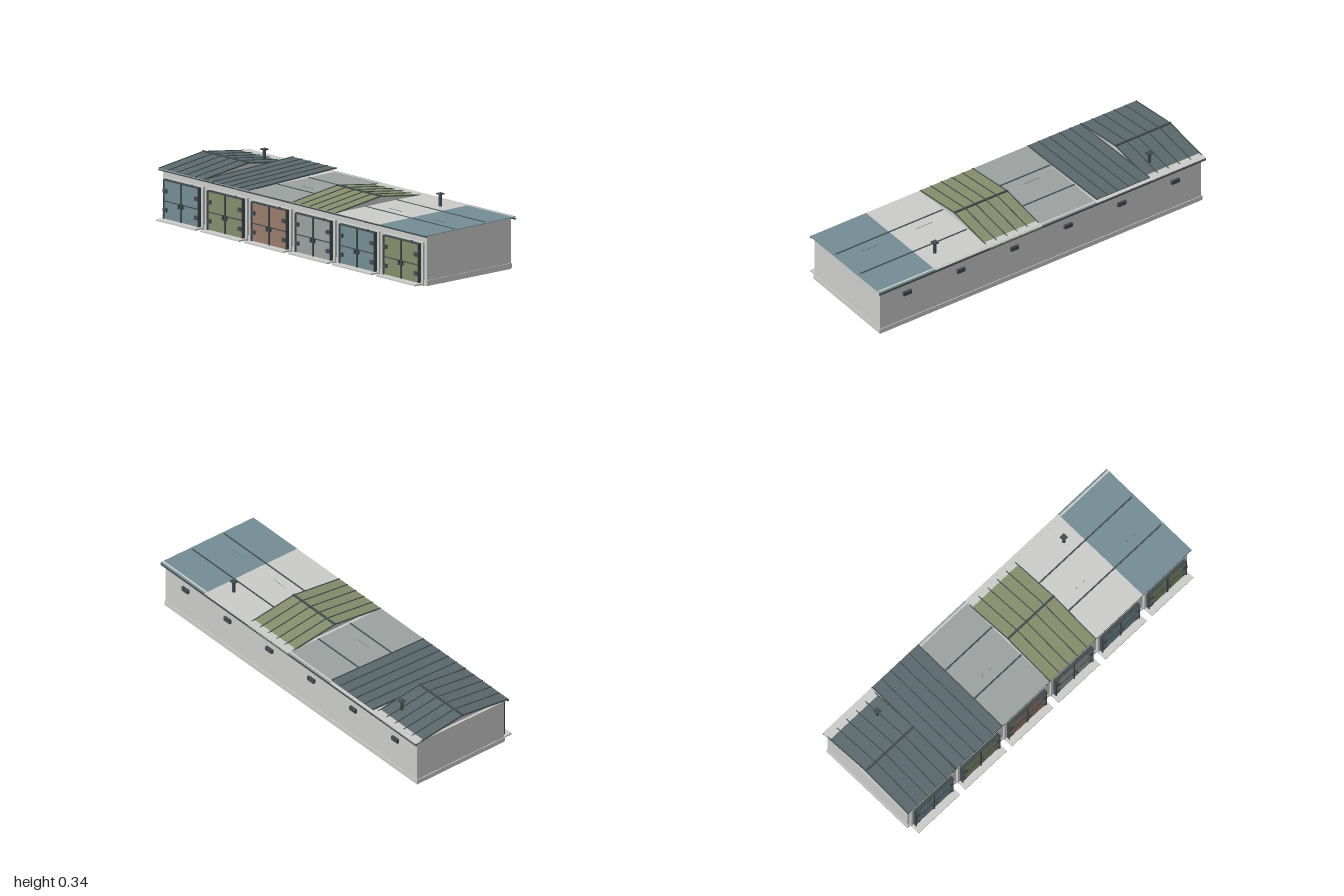
import * as THREE from 'three';

const mat = (name, color) => Object.assign(new THREE.MeshStandardMaterial({ color }), { name });

export function createModel() {
  const M = {
    wall: mat('pale render', 0xcbcbca),
    slate: mat('slate metal', 0x5a686d),
    dark: mat('dark iron', 0x414c4f),
    blue: mat('dusty blue', 0x748c95),
    olive: mat('olive green', 0x858d6b),
    brown: mat('rust brown', 0x9a7c6c),
    grey: mat('mid grey', 0x9ca19f),
  };
  const root = new THREE.Group();
  root.name = 'garageRow';

  const group = (name) => {
    const g = new THREE.Group();
    g.name = name;
    root.add(g);
    return g;
  };
  // Box given by its extents on each axis
  const box = (parent, name, material, [x0, x1], [y0, y1], [z0, z1]) => {
    const mesh = new THREE.Mesh(new THREE.BoxGeometry(x1 - x0, y1 - y0, z1 - z0), material);
    mesh.position.set((x0 + x1) / 2, (y0 + y1) / 2, (z0 + z1) / 2);
    mesh.name = name;
    parent.add(mesh);
  };
  // Prism along x from a (z, y) outline
  const prism = (parent, name, material, x0, x1, outline) => {
    const shape = new THREE.Shape(outline.map(([z, y]) => new THREE.Vector2(-z, y)));
    const geo = new THREE.ExtrudeGeometry(shape, { depth: x1 - x0, bevelEnabled: false });
    geo.rotateY(Math.PI / 2).translate(x0, 0, 0);
    const mesh = new THREE.Mesh(geo, material);
    mesh.name = name;
    parent.add(mesh);
  };
  // Sloping sheet whose underside runs from a to b in (z, y)
  const sheet = (parent, name, material, x0, x1, a, b, t) =>
    prism(parent, name, material, x0, x1, [a, b, [b[0], b[1] + t], [a[0], a[1] + t]]);

  const PITCH = 0.3285;
  const bays = [0, 1, 2, 3, 4, 5].map((i) => (i - 2.5) * PITCH);
  const edges = [-1, -0.66, -0.332, 0, 0.328, 0.657, 1];
  const FRONT = 0.28, BACK = -0.325, RIDGE = -0.02;

  // Walls with a slightly sloping top, and the plinth
  const shell = group('building');
  prism(shell, 'walls', M.wall, -0.985, 0.985,
    [[0.262, 0], [0.262, 0.26], [-0.305, 0.265], [-0.305, 0]]);
  box(shell, 'plinth', M.wall, [-0.989, 0.989], [0.005, 0.03], [-0.309, 0.266]);
  box(shell, 'frontFascia', M.dark, [-1, 1], [0.254, 0.262], [0.273, FRONT]);
  box(shell, 'backFascia', M.dark, [-1, 1], [0.254, 0.261], [BACK, -0.317]);

  // Garage fronts
  const doorColours = [M.blue, M.olive, M.brown, M.grey, M.blue, M.olive];
  bays.forEach((cx, i) => {
    const g = group(`garageFront${i + 1}`);
    g.position.x = cx;
    for (const s of [-1, 1]) {
      const span = (a, b) => (s > 0 ? [a, b] : [-b, -a]);
      box(g, 'pier', M.wall, span(0.131, 0.148), [0, 0.223], [0.262, 0.274]);
      box(g, 'doorLeaf', doorColours[i], span(0.002, 0.128), [0.015, 0.214], [0.265, 0.286]);
      box(g, 'jamb', M.dark, span(0.127, 0.132), [0.015, 0.218], [0.264, 0.293]);
      box(g, 'doorRail', M.dark, span(0.002, 0.128), [0.104, 0.109], [0.286, 0.289]);
      for (const y of [0.062, 0.16])
        box(g, 'hinge', M.dark, span(0.104, 0.128), [y - 0.01, y + 0.01], [0.286, 0.297]);
      box(g, 'handle', M.dark, span(0.008, 0.015), [0.085, 0.11], [0.286, 0.299]);
    }
    box(g, 'lintel', M.wall, [-0.148, 0.148], [0.214, 0.223], [0.262, 0.274]);
    box(g, 'headRail', M.dark, [-0.132, 0.132], [0.213, 0.218], [0.264, 0.293]);
    box(g, 'centreStrip', M.dark, [-0.004, 0.004], [0.015, 0.214], [0.27, 0.291]);
    box(g, 'lampStem', M.dark, [0.082, 0.088], [0.218, 0.228], [0.29, 0.294]);
    box(g, 'threshold', M.wall, [-0.146, 0.146], [0.006, 0.014], [0.262, 0.325]);
    box(g, 'rearVent', M.dark, [-0.024, 0.024], [0.18, 0.202], [-0.318, -0.304]);
  });

  // Low flat roofs
  const roofY = (z) => 0.261 + (FRONT - z) * 0.009;
  const flat = (parent, name, material, x0, x1, z0, z1, lift, t) =>
    sheet(parent, name, material, x0, x1, [z0, roofY(z0) + lift], [z1, roofY(z1) + lift], t);
  const flatRoofs = group('flatRoofs');
  const flatColours = [M.wall, M.wall, M.grey, M.wall, M.wall, M.blue];
  flatColours.forEach((m, i) => {
    flat(flatRoofs, 'flatRoof', m, edges[i], edges[i + 1], FRONT, BACK, 0, 0.003);
    if ([2, 4, 5].includes(i)) {
      for (const z of [-0.13, 0.078])
        flat(flatRoofs, 'roofSeam', M.dark, edges[i], Math.min(edges[i + 1], 0.985), z + 0.004, z - 0.004, 0.003, 0.002);
      const px = bays[i] - 0.01;
      flat(flatRoofs, 'roofPatch', M.slate, px - 0.05, px + 0.05, 0.02, -0.135 + 0.155, 0.003, 0.002);
    }
    if (i > 1) flat(flatRoofs, 'rearTrim', M.wall, edges[i], edges[i + 1], -0.305, -0.315, 0.003, 0.001);
  });

  // Ribbed metal slope with evenly spaced standing seams
  const ribbedSlope = (parent, material, x0, x1, a, b) => {
    sheet(parent, 'roofSheet', material, x0, x1, a, b, 0.004);
    for (let k = 0; k <= 5; k++) {
      const x = x0 + 0.003 + ((x1 - x0 - 0.006) * k) / 5;
      sheet(parent, 'standingSeam', M.dark, x - 0.0025, x + 0.0025,
        [a[0], a[1] + 0.004], [b[0], b[1] + 0.004], 0.003);
    }
  };

  // Pitched roofs with pale gable infill
  for (const [i, material] of [[0, M.slate], [3, M.olive]]) {
    const g = group(`pitchedRoof${i + 1}`);
    const x0 = edges[i], x1 = edges[i + 1];
    prism(g, 'gable', M.wall, x0 + 0.014, x1 - 0.005, [[0.262, 0.26], [RIDGE, 0.298], [-0.305, 0.262]]);
    ribbedSlope(g, material, x0, x1, [FRONT, 0.26], [RIDGE, 0.299]);
    ribbedSlope(g, material, x0, x1, [RIDGE, 0.299], [BACK, 0.258]);
    box(g, 'ridgeCap', M.dark, [x0, x1], [0.301, 0.309], [RIDGE - 0.005, RIDGE + 0.005]);
  }

  // Single-pitch roof rising to the back
  ribbedSlope(group('leanRoof'), M.slate, edges[1], edges[2], [FRONT, 0.261], [-0.32, 0.284]);

  // Flues with square caps
  for (const x of [-0.74, 0.575]) {
    const g = group('flue');
    const pipe = new THREE.Mesh(new THREE.CylinderGeometry(0.009, 0.009, 0.07, 12), M.dark);
    pipe.name = 'fluePipe';
    pipe.position.set(x, 0.297, -0.2);
    g.add(pipe);
    box(g, 'flueCap', M.dark, [x - 0.015, x + 0.015], [0.329, 0.335], [-0.215, -0.185]);
  }
  return root;
}
